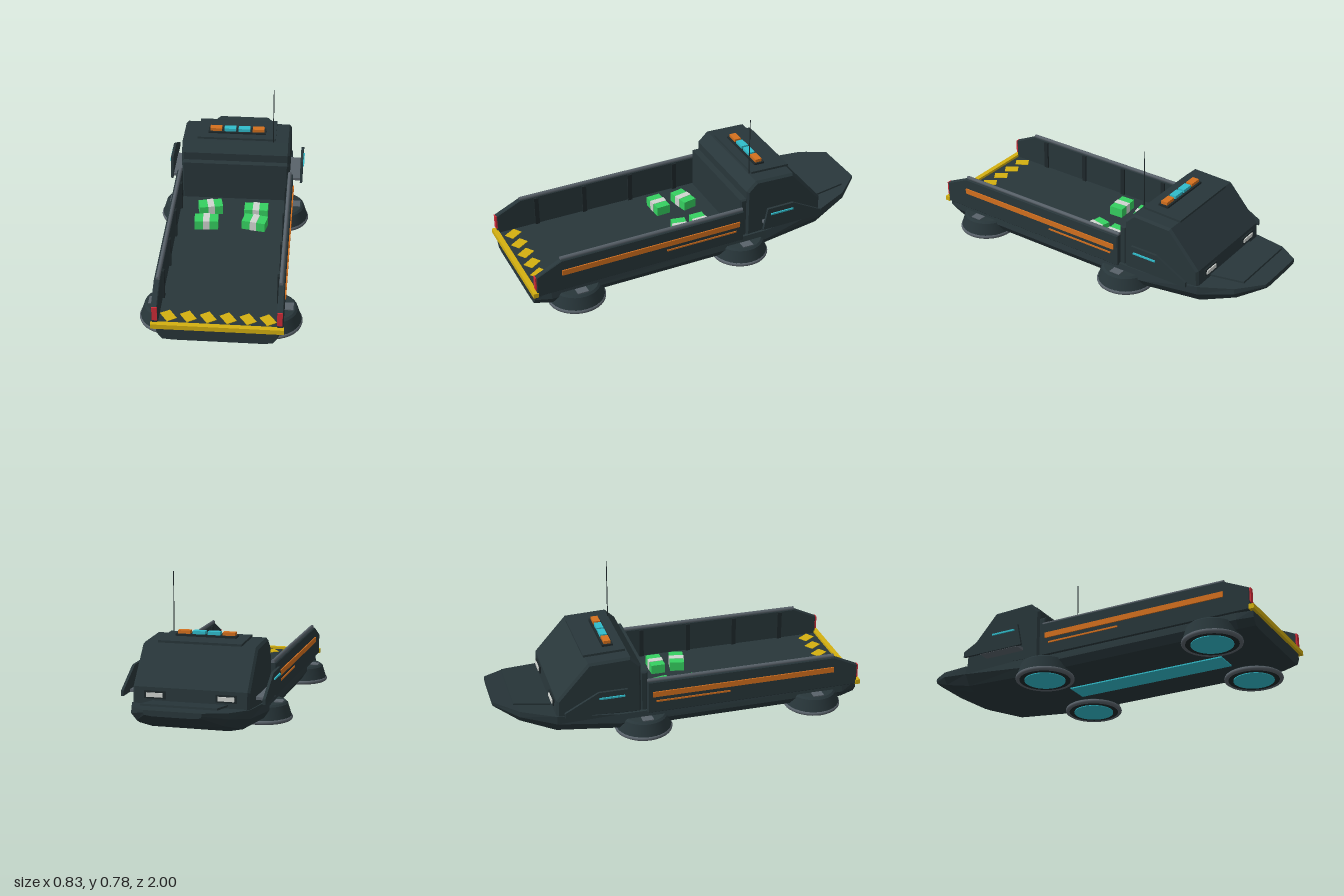
import * as THREE from 'three';

const mat = (name, color) => Object.assign(new THREE.MeshStandardMaterial({ color }), { name });

export function createModel() {
  const root = new THREE.Group();
  root.name = 'hoverTruck';
  const body = mat('bodyDark', 0x28363a), trim = mat('trimBlack', 0x1e282b), grey = mat('metalGrey', 0x59626a),
    orange = mat('orange', 0xd4701e), cyan = mat('cyan', 0x30bccb), yellow = mat('yellow', 0xd4b010),
    red = mat('red', 0xd02c38), green = mat('green', 0x35d060), white = mat('white', 0xd0d4d0);

  const add = (name, geo, m, x = 0, y = 0, z = 0, parent = root) => {
    const mesh = new THREE.Mesh(geo, m);
    mesh.name = name;
    mesh.position.set(x, y, z);
    parent.add(mesh);
    return mesh;
  };
  const box = (name, m, w, h, d, x, y, z, parent) => add(name, new THREE.BoxGeometry(w, h, d), m, x, y, z, parent);

  // Extrudes a [z, y] side profile from x0 to x1, with an optional chamfer
  const slab = (name, m, pts, x0, x1, bevel = 0) => {
    const shape = new THREE.Shape(pts.map(p => new THREE.Vector2(p[0], p[1])));
    const geo = new THREE.ExtrudeGeometry(shape, {
      depth: x1 - x0 - 2 * bevel, bevelEnabled: bevel > 0, bevelSize: bevel, bevelThickness: bevel,
      bevelOffset: -bevel, bevelSegments: 1
    });
    geo.rotateY(-Math.PI / 2);
    return add(name, geo, m, x1 - bevel);
  };

  // Joins eight-sided cross-sections: [z, then half-width and height from bottom to top]
  const loft = sections => {
    const rings = sections.map(([z, ...v]) => {
      const half = [0, 2, 4, 6].map(i => [v[i], v[i + 1], z]);
      return [...half, ...half.map(([x, y]) => [-x, y, z]).reverse()];
    });
    const pos = [], tri = (...p) => p.forEach(q => pos.push(...q));
    for (let i = 0; i < rings.length - 1; i++)
      for (let k = 0; k < 8; k++) {
        const n = (k + 1) % 8, a = rings[i][k], b = rings[i][n], c = rings[i + 1][n], d = rings[i + 1][k];
        tri(a, d, c);
        tri(a, c, b);
      }
    const first = rings[0], last = rings[rings.length - 1];
    for (let k = 1; k < 7; k++) {
      tri(first[0], first[k], first[k + 1]);
      tri(last[0], last[k + 1], last[k]);
    }
    const geo = new THREE.BufferGeometry();
    geo.setAttribute('position', new THREE.Float32BufferAttribute(pos, 3));
    geo.computeVertexNormals();
    return geo;
  };

  // Hull with upswept nose
  add('hull', loft([
    [0.985, 0.22, 0.045, 0.275, 0.05, 0.30, 0.085, 0.30, 0.125],
    [0.90, 0.24, 0.027, 0.297, 0.04, 0.322, 0.08, 0.315, 0.125],
    [-0.35, 0.24, 0.027, 0.297, 0.04, 0.322, 0.08, 0.312, 0.13],
    [-0.69, 0.20, 0.05, 0.27, 0.065, 0.308, 0.12, 0.308, 0.165],
    [-0.874, 0.16, 0.115, 0.22, 0.125, 0.25, 0.16, 0.246, 0.19],
    [-1, 0.10, 0.183, 0.14, 0.188, 0.146, 0.198, 0.146, 0.212]
  ]), body);
  box('hoodPanel', body, 0.39, 0.01, 0.2, 0, 0.196, -0.80).rotation.x = 0.15;
  box('bellyGlow', cyan, 0.13, 0.008, 0.88, 0, 0.024, 0.265);

  // Cargo bed
  box('bedFloor', body, 0.60, 0.012, 1.18, 0, 0.125, 0.39);
  slab('bulkhead', body, [[-0.238, 0.12], [-0.238, 0.355], [-0.198, 0.355], [-0.198, 0.12]], -0.297, 0.297, 0.008);
  box('rearBumper', yellow, 0.66, 0.026, 0.028, 0, 0.132, 0.986);
  for (let i = 0; i < 6; i++)
    box('hazardMark', yellow, 0.055, 0.004, 0.076, -0.249 + i * 0.0995, 0.132, 0.906).rotation.y = 0.58;

  // Cab
  slab('cab', body, [[-0.235, 0.12], [-0.235, 0.40], [-0.29, 0.453], [-0.515, 0.445], [-0.688, 0.25], [-0.694, 0.14]],
    -0.303, 0.303, 0.012);
  const roof = box('roofPanel', body, 0.44, 0.012, 0.225, 0, 0.456, -0.413);
  roof.rotation.x = -0.035;
  box('lightBarBase', trim, 0.325, 0.014, 0.06, 0, 0.466, -0.38);
  [-0.12, -0.04, 0.04, 0.12].forEach((x, i) =>
    box('beacon', i % 3 ? cyan : orange, 0.066, 0.018, 0.038, x, 0.481, -0.38));
  add('antenna', new THREE.CylinderGeometry(0.0022, 0.0028, 0.335, 8), trim, 0.207, 0.615, -0.292);

  for (const s of [-1, 1]) {
    const sideSlab = (name, m, pts, a, b, bevel) => slab(name, m, pts, s > 0 ? a : -b, s > 0 ? b : -a, bevel);

    // Bed walls, rails and ribs
    sideSlab('bedWall', body, [[-0.205, 0.12], [-0.205, 0.302], [0.84, 0.302], [0.978, 0.237], [0.978, 0.12]],
      0.295, 0.326, 0.004);
    const rail = add('wallRail', new THREE.CylinderGeometry(0.011, 0.011, 1.045, 6), grey, s * 0.307, 0.307, 0.318);
    rail.rotation.x = Math.PI / 2;
    for (const z of [-0.08, 0.195, 0.47, 0.75])
      box('wallRib', trim, 0.012, 0.165, 0.025, s * 0.291, 0.213, z);
    box('tailLight', red, 0.027, 0.076, 0.009, s * 0.309, 0.198, 0.98);
    box('wideStripe', orange, 0.007, 0.03, 1.02, s * 0.329, 0.23, 0.33);
    box('thinStripe', orange, 0.005, 0.009, 0.41, s * 0.328, 0.188, 0.045);

    // Cab side fins with steps
    sideSlab('sideFin', body, [[-0.30, 0.187], [-0.325, 0.312], [-0.48, 0.312], [-0.66, 0.215], [-0.66, 0.187]],
      0.362, 0.376);
    box('sideStep', grey, 0.07, 0.015, 0.23, s * 0.333, 0.193, -0.445);
    box('finLight', cyan, 0.008, 0.009, 0.135, s * 0.379, 0.278, -0.41);

    // Headlights
    box('headlightHousing', trim, 0.11, 0.04, 0.01, s * 0.185, 0.213, -0.692);
    box('headlight', white, 0.085, 0.022, 0.008, s * 0.185, 0.213, -0.699);

    // Hover pods
    for (const z of [-0.215, 0.745]) {
      const pod = new THREE.Group();
      pod.name = 'hoverPod';
      pod.position.set(s * 0.262, 0, z);
      root.add(pod);
      add('podSkirt', new THREE.CylinderGeometry(0.129, 0.15, 0.068, 32), body, 0, 0.056, 0, pod);
      add('podCap', new THREE.CylinderGeometry(0.118, 0.129, 0.01, 32), body, 0, 0.095, 0, pod);
      add('podBase', new THREE.CylinderGeometry(0.135, 0.135, 0.016, 32), trim, 0, 0.014, 0, pod);
      add('podRing', new THREE.TorusGeometry(0.143, 0.0125, 10, 40).rotateX(Math.PI / 2), grey, 0, 0.0145, 0, pod);
      add('podGlow', new THREE.CylinderGeometry(0.108, 0.108, 0.008, 32), cyan, 0, 0.006, 0, pod);
      box('podBracket', grey, 0.045, 0.012, 0.06, s * 0.085, 0.098, 0, pod);
    }
  }

  // Strapped cargo bundles
  for (const [x, z, turn] of [[-0.125, -0.058, 0.2], [0.13, -0.042, 0], [-0.135, 0.09, 0.05], [0.13, 0.08, -0.2]]) {
    const bundle = new THREE.Group();
    bundle.name = 'cargoBundle';
    bundle.position.set(x, 0.157, z);
    bundle.rotation.y = turn;
    root.add(bundle);
    box('bundleBlock', green, 0.13, 0.052, 0.078, 0, 0, 0, bundle);
    box('bundleBand', white, 0.036, 0.056, 0.082, 0, 0, 0, bundle);
  }
  return root;
}
